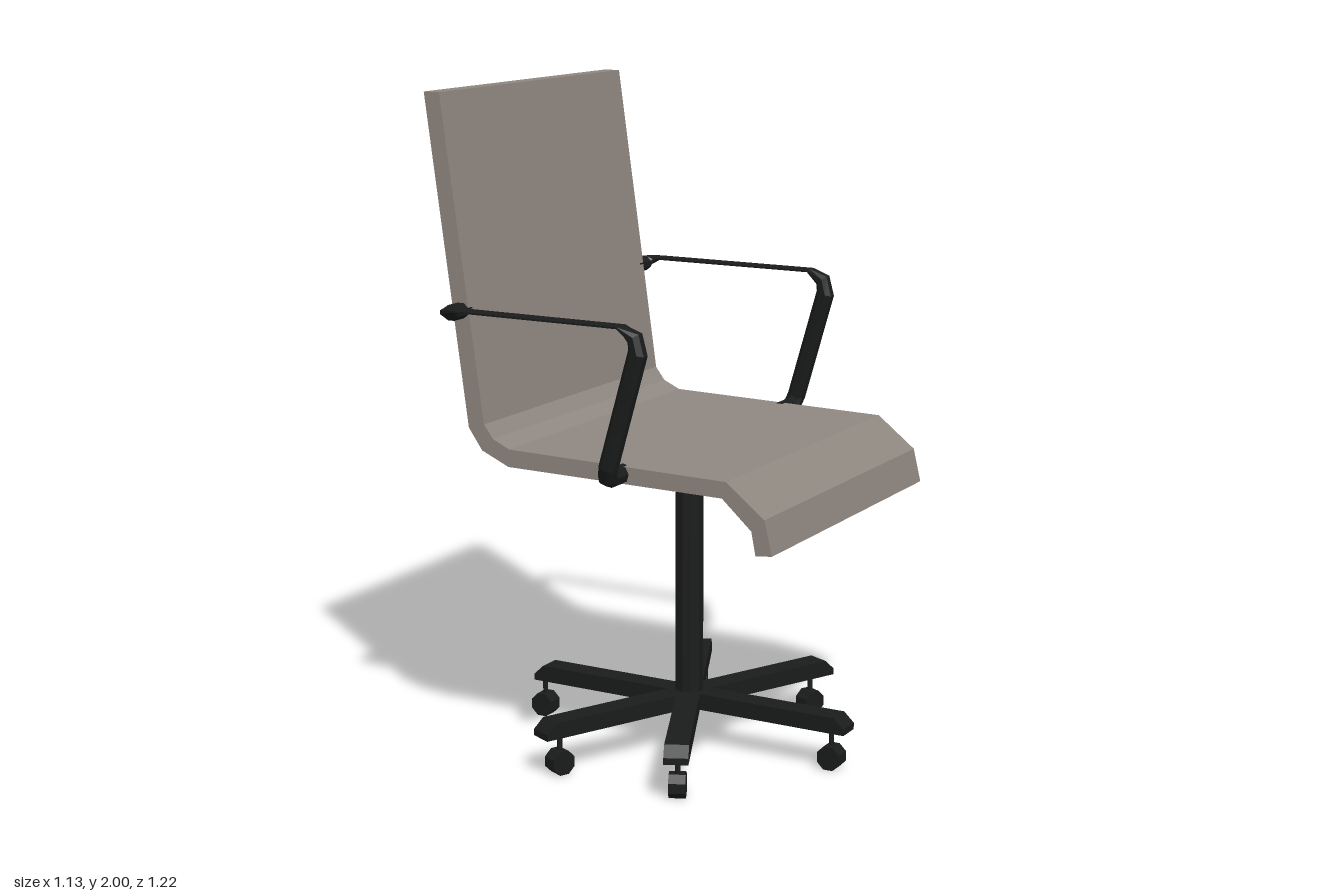
import * as THREE from 'three';

const fabric = new THREE.MeshStandardMaterial({ color: 0x8f8780, flatShading: true });
fabric.name = 'warm grey';
const metal = new THREE.MeshStandardMaterial({ color: 0x1a1c1b, flatShading: true });
metal.name = 'black';

const HUB_X = 0.02; // the base and column sit slightly forward of centre

function add(parent, name, geometry, material) {
  const mesh = new THREE.Mesh(geometry, material);
  mesh.name = name;
  parent.add(mesh);
  return mesh;
}

// Extrudes an x/y outline along z, centred on z = 0
function slab(points, depth) {
  const shape = new THREE.Shape(points.map(([x, y]) => new THREE.Vector2(x, y)));
  return new THREE.ExtrudeGeometry(shape, { depth, bevelEnabled: false }).translate(0, 0, -depth / 2);
}

// Skins elliptical rings [centre, halfAxisU, halfAxisV]; side = -1 mirrors in z
function sweep(rings, side, sides = 8) {
  const pos = [], index = [];
  for (const [c, u, v] of rings) {
    for (let j = 0; j < sides; j++) {
      const a = ((j + 0.5) / sides) * Math.PI * 2, k = 1 / Math.cos(Math.PI / sides);
      const p = [0, 1, 2].map(n => c[n] + k * (u[n] * Math.cos(a) + v[n] * Math.sin(a)));
      pos.push(p[0], p[1], p[2] * side);
    }
  }
  for (let i = 0; i < rings.length - 1; i++) {
    for (let j = 0; j < sides; j++) {
      const a = i * sides + j, b = i * sides + (j + 1) % sides, c = a + sides, d = b + sides;
      if (side > 0) index.push(a, b, c, b, d, c);
      else index.push(a, c, b, b, c, d);
    }
  }
  const g = new THREE.BufferGeometry();
  g.setAttribute('position', new THREE.Float32BufferAttribute(pos, 3));
  g.setIndex(index);
  g.computeVertexNormals();
  return g;
}

// Looped armrest: out of the seat, up a slanted post, back along a flat bar, into the backrest
function armrest(side) {
  const r = 0.026, zero = [0, 0, 0];
  const p = [0.95 * r, -0.3 * r, 0];         // across the post, facing forward
  const down = [-0.3 * r, -0.95 * r, 0];     // outer side of the lower stub
  const out = [0, 0, r], back = [-r, 0, 0];
  const rings = [
    [[0.075, 0.955, 0.48], zero, zero],
    [[0.075, 0.955, 0.48], down, p],
    [[0.075, 0.955, 0.55], down, p],
    [[0.078, 0.963, 0.573], [-0.2 * r, -0.7 * r, 0.7 * r], p],
    [[0.086, 0.99, 0.583], out, p],
    [[0.183, 1.325, 0.583], out, p],
    [[0.174, 1.366, 0.583], out, [0.017, 0.013, 0]],
    [[0.13, 1.394, 0.583], out, [0.001, 0.006, 0]],
    [[-0.415, 1.394, 0.583], out, [0, 0.006, 0]],
    [[-0.445, 1.386, 0.574], [-0.7 * r, 0, 0.7 * r], [0, 0.014, 0]],
    [[-0.455, 1.378, 0.55], back, [0, 0.022, 0]],
    [[-0.455, 1.378, 0.48], back, [0, 0.022, 0]],
    [[-0.455, 1.378, 0.48], zero, zero],
  ];
  return sweep(rings, side);
}

// One spoke of the base with its caster, pointing along +x before turning
function spoke(angle, casterRadius) {
  const g = new THREE.Group();
  g.name = 'baseSpoke';
  const outline = [[0, 0.12], [0.54, 0.12], [0.54, 0.14], [0.508, 0.17], [0, 0.17]];
  add(g, 'spokeBeam', slab(outline, 0.072), metal);
  add(g, 'casterStem', new THREE.CylinderGeometry(0.008, 0.008, 0.07, 8), metal)
    .position.set(casterRadius, 0.09, 0);
  const wheel = new THREE.CylinderGeometry(0.039, 0.039, 0.05, 8).rotateY(Math.PI / 8).rotateX(Math.PI / 2);
  add(g, 'casterWheel', wheel, metal).position.set(casterRadius, 0.036, 0);
  g.position.x = HUB_X;
  g.rotation.y = angle;
  return g;
}

export function createModel() {
  const chair = new THREE.Group();
  chair.name = 'officeChair';

  // Continuous bent shell: backrest, seat and drooping front lip
  const profile = [
    [-0.568, 2.0], [-0.435, 1.035], [-0.39, 0.972], [-0.3, 0.933], [0.4, 0.925],
    [0.492, 0.843], [0.505, 0.775], [0.556, 0.78], [0.532, 0.88], [0.412, 0.973],
    [-0.297, 0.985], [-0.352, 1.01], [-0.382, 1.05], [-0.516, 2.0],
  ];
  add(chair, 'seatShell', slab(profile, 1), fabric);

  add(chair, 'leftArmrest', armrest(-1), metal);
  add(chair, 'rightArmrest', armrest(1), metal);

  // Column from base to seat
  add(chair, 'column', new THREE.CylinderGeometry(0.043, 0.043, 0.82, 10), metal)
    .position.set(HUB_X, 0.53, 0);

  // Six spokes: two along x, four splayed to the sides
  const splay = THREE.MathUtils.degToRad(65);
  for (const a of [splay, -splay, Math.PI - splay, Math.PI + splay]) chair.add(spoke(a, 0.474));
  chair.add(spoke(0, 0.485), spoke(Math.PI, 0.522));

  return chair;
}
